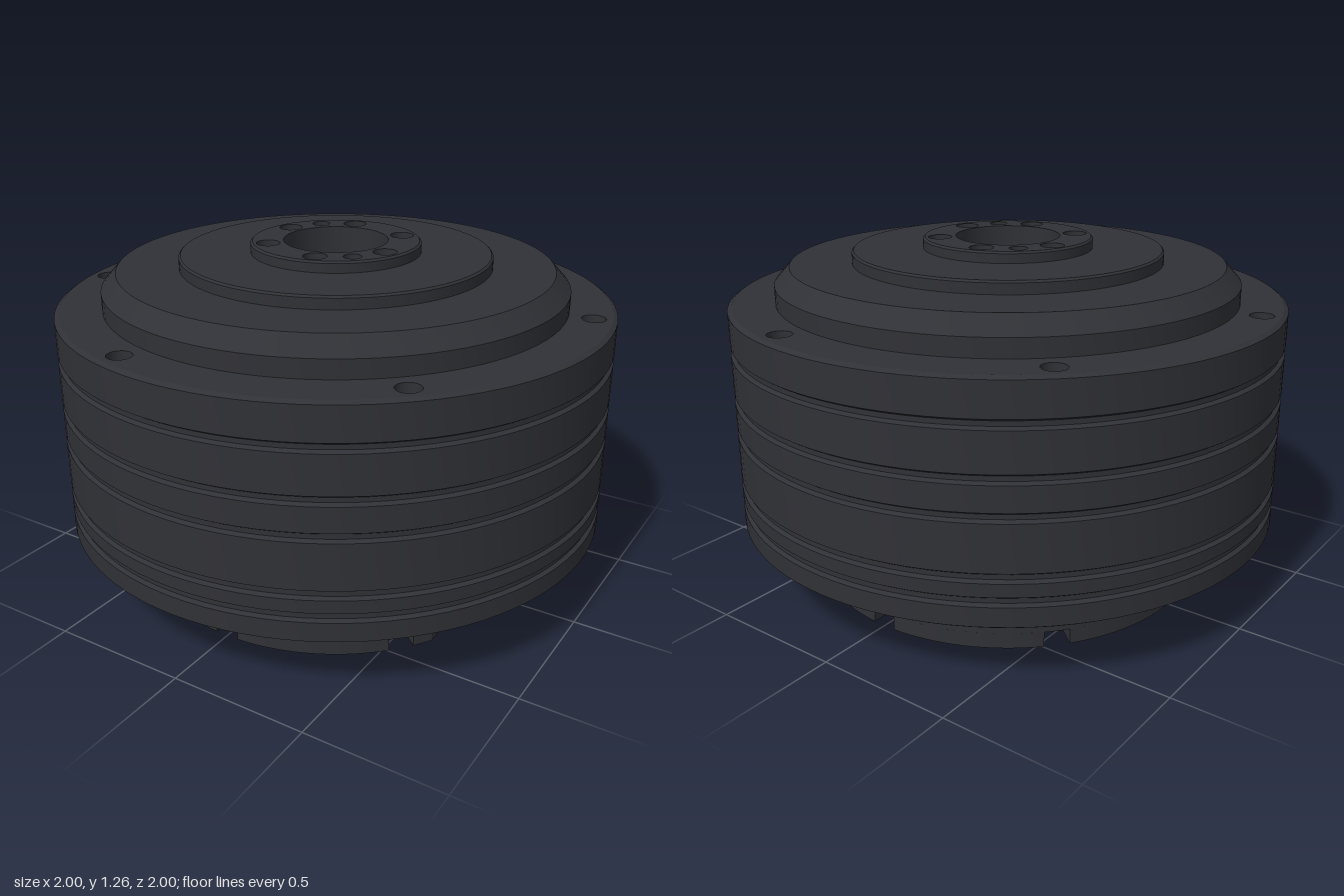
import * as THREE from 'three';
import { toCreasedNormals } from 'three/addons/utils/BufferGeometryUtils.js';

const material = new THREE.MeshStandardMaterial({ color: 0x303136 });
const SEGMENTS = 96;
const rad = THREE.MathUtils.degToRad;

function addMesh(group, name, geometry) {
  const mesh = new THREE.Mesh(toCreasedNormals(geometry, rad(25)), material);
  mesh.name = name;
  group.add(mesh);
}

function lathe(points) {
  return new THREE.LatheGeometry(points.map(([r, y]) => new THREE.Vector2(r, y)), SEGMENTS);
}

// Profile points of grooves cut into a cylinder, from the bottom up
function grooves(radius, depth, halfHeight, centres) {
  return centres.flatMap((y) => [
    [radius, y - halfHeight],
    [radius - depth, y - halfHeight * 0.5],
    [radius - depth, y + halfHeight * 0.5],
    [radius, y + halfHeight],
  ]);
}

// Upright extrusion of a plan shape between two heights (shape y is -z)
function plate(shape, y0, y1, curveSegments) {
  const g = new THREE.ExtrudeGeometry(shape, { depth: y1 - y0, bevelEnabled: false, curveSegments });
  return g.rotateX(-Math.PI / 2).translate(0, y0, 0);
}

function circle(Type, x, z, r) {
  return new Type().absarc(x, -z, r, 0, Math.PI * 2, false);
}

// Disc with bolt holes given as [angle, pitch radius, hole radius]
function drilledDisc(radius, holes) {
  const shape = circle(THREE.Shape, 0, 0, radius);
  for (const [deg, pitch, r] of holes) {
    shape.holes.push(circle(THREE.Path, pitch * Math.cos(rad(deg)), pitch * Math.sin(rad(deg)), r));
  }
  return shape;
}

// Foot outline: circle with a flat on +x, rim notches and rows of vents
function footShape() {
  const R = 0.72, flat = 0.62, half = 0.045, inner = 0.64;
  const start = Math.acos(flat / R), h = Math.asin(half / R);
  const shape = new THREE.Shape();
  let from = start;
  for (const deg of [40, 90, 140, 220, 270, 320]) {
    const a = rad(deg), c = Math.cos(a), s = Math.sin(a);
    shape.absarc(0, 0, R, from, a - h, false);
    shape.lineTo(inner * c + half * s, inner * s - half * c);
    shape.lineTo((inner - 0.02) * c, (inner - 0.02) * s);
    shape.lineTo(inner * c - half * s, inner * s + half * c);
    from = a + h;
  }
  shape.absarc(0, 0, R, from, Math.PI * 2 - start, false);
  for (const [x, y] of [[flat, -0.11], [0.6, -0.11], [0.6, 0.11], [flat, 0.11]]) shape.lineTo(x, y);

  // Staggered angled vents
  for (let row = 0; row < 11; row++) {
    for (let col = 0; col < 20; col++) {
      const x = -0.41 + row * 0.068;
      const y = -0.51 + col * 0.053 + (row % 2) * 0.012;
      const vent = new THREE.Path();
      vent.moveTo(x - 0.022, y - 0.018);
      vent.lineTo(x - 0.022, y + 0.012);
      vent.lineTo(x + 0.024, y + 0.018);
      vent.lineTo(x + 0.024, y);
      vent.lineTo(x - 0.008, y - 0.003);
      vent.lineTo(x - 0.008, y - 0.018);
      shape.holes.push(vent);
    }
  }
  return shape;
}

export function createModel() {
  const group = new THREE.Group();

  // Grooved drum with recessed ends that back the bolt holes
  addMesh(group, 'drumBody', lathe([
    [0, 0.32], [0.985, 0.32], [0.985, 0.24], [1, 0.25],
    ...grooves(1, 0.013, 0.017, [0.335, 0.415, 0.613, 0.735, 0.905]),
    [1, 1.04], [0.985, 1.05], [0.985, 0.97], [0, 0.97],
  ]));
  const rimHoles = [45, 105, 165, 225, 285, 345].map((a) => [a, 0.92, 0.042]);
  addMesh(group, 'topFace', plate(drilledDisc(0.985, rimHoles), 0.97, 1.05, SEGMENTS / 2));
  const lowerHoles = rimHoles.map(([a, p]) => [a, p, 0.036]);
  addMesh(group, 'bottomFace', plate(drilledDisc(0.985, lowerHoles), 0.24, 0.32, SEGMENTS / 2));

  // Stepped cover ending in the well behind the output flange
  addMesh(group, 'steppedCover', lathe([
    [0.835, 1.04], [0.835, 1.115], [0.78, 1.175], [0.56, 1.175], [0.56, 1.213], [0.553, 1.22],
    [0.305, 1.22], [0.305, 1.253], [0.298, 1.26], [0.298, 1.16], [0, 1.16],
  ]));

  // Output flange with bore, six bolt holes and two dowel holes
  const flange = drilledDisc(0.298, [
    [0, 0, 0.187],
    ...[15, 75, 135, 195, 255, 315].map((a) => [a, 0.245, 0.042]),
    ...[45, 225].map((a) => [a, 0.245, 0.032]),
  ]);
  addMesh(group, 'outputFlange', plate(flange, 1.16, 1.26, SEGMENTS / 2));

  // Ribbed base, cut flat on its +x side
  const base = lathe([
    [0, 0.055], [0.72, 0.055], ...grooves(0.72, 0.015, 0.016, [0.1, 0.15, 0.2]), [0.72, 0.25], [0, 0.25],
  ]);
  const pos = base.attributes.position;
  for (let i = 0; i < pos.count; i++) {
    const x = pos.getX(i);
    if (x > 0.61) pos.setXYZ(i, 0.61, pos.getY(i), pos.getZ(i) * 0.61 / x);
  }
  addMesh(group, 'ribbedBase', base);

  // Notched, vented foot plate
  addMesh(group, 'ventedFoot', plate(footShape(), 0, 0.055, 8));

  return group;
}
